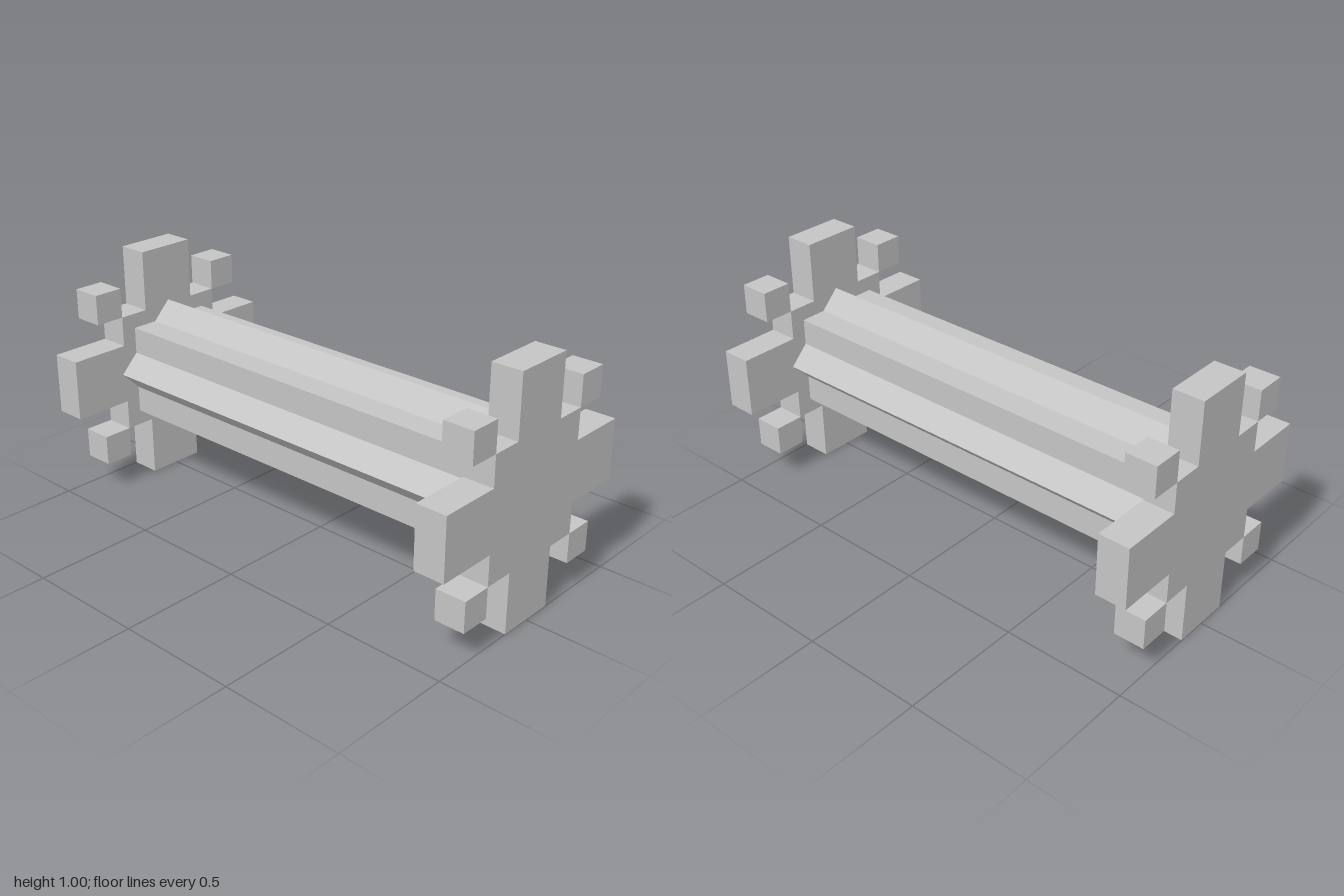
import * as THREE from 'three';

const grey = new THREE.MeshStandardMaterial({ color: 0xc4c4c4 });
grey.name = 'plain grey';

const CENTRE_Y = 0.5;
const PLATE = 0.125; // thickness of the end plates
const LENGTH = 2;

// Extrude a closed outline along z, centred on z = 0
function prism(points, depth) {
  const geometry = new THREE.ExtrudeGeometry(new THREE.Shape(points), { depth, bevelEnabled: false });
  return geometry.translate(0, 0, -depth / 2);
}

// Stepped cross outline: one corner's steps turned through four quarters
function crossOutline() {
  const steps = [[0.5, 0.125], [0.25, 0.125], [0.25, 0.25], [0.125, 0.25], [0.125, 0.5]];
  const points = [];
  for (let q = 0; q < 4; q++) {
    for (const [x, y] of steps) {
      points.push(new THREE.Vector2(x, y).rotateAround(new THREE.Vector2(), q * Math.PI / 2));
    }
  }
  return points;
}

// Eight-pointed star made by two squares, one turned by 45 degrees
function starOutline(halfSide) {
  const outer = halfSide * Math.SQRT2;
  const inner = halfSide / Math.cos(Math.PI / 8);
  return Array.from({ length: 16 }, (_, i) => {
    const r = i % 2 ? inner : outer;
    const a = i * Math.PI / 8;
    return new THREE.Vector2(r * Math.cos(a), r * Math.sin(a));
  });
}

export function createModel() {
  const model = new THREE.Group();
  model.name = 'starBarWithCrossEnds';

  const add = (parent, name, geometry, x = 0, y = 0, z = 0) => {
    const mesh = new THREE.Mesh(geometry, grey);
    mesh.name = name;
    mesh.position.set(x, y, z);
    parent.add(mesh);
  };

  // Star-section bar between the plates
  add(model, 'starBar', prism(starOutline(0.1875), LENGTH - 2 * PLATE), 0, CENTRE_Y, 0);

  // Cross plate with four corner cubes at each end
  const crossGeometry = prism(crossOutline(), PLATE);
  const cubeGeometry = new THREE.BoxGeometry(PLATE, PLATE, PLATE);
  for (const side of [1, -1]) {
    const end = new THREE.Group();
    end.name = side > 0 ? 'frontEnd' : 'backEnd';
    end.position.set(0, CENTRE_Y, side * (LENGTH - PLATE) / 2);
    add(end, 'crossPlate', crossGeometry);
    for (const sx of [1, -1]) {
      for (const sy of [1, -1]) {
        add(end, 'cornerCube', cubeGeometry, sx * 0.3125, sy * 0.3125, 0);
      }
    }
    model.add(end);
  }
  return model;
}
